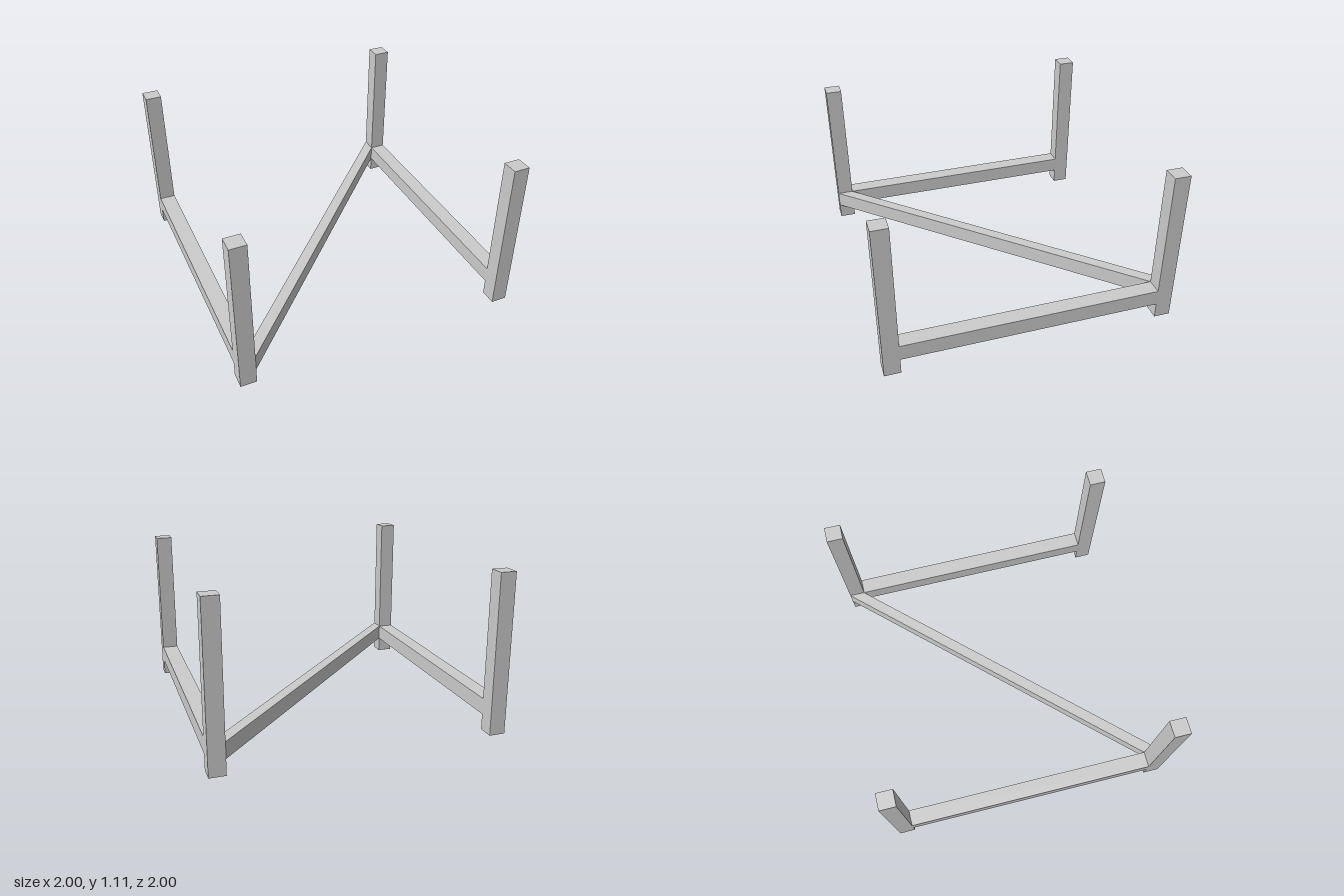
import * as THREE from 'three';

export function createModel() {
  const group = new THREE.Group();
  const material = new THREE.MeshStandardMaterial({ color: 0xcccccc, flatShading: true });
  const t = 1 / 9;          // beam thickness
  const height = 10 * t;    // leg height
  const inner = 1 - t;      // inner face of the legs
  const mid = 1 - t / 2;    // centre line of the legs

  const add = (name, geometry, x, y, z) => {
    const mesh = new THREE.Mesh(geometry, material);
    mesh.name = name;
    mesh.position.set(x, y, z);
    group.add(mesh);
  };

  for (const [side, sx] of [['left', 1], ['right', -1]]) {
    // Corner legs
    for (const [end, sz] of [['Front', 1], ['Back', -1]]) {
      add(`${side}${end}Leg`, new THREE.BoxGeometry(t, height, t), sx * mid, height / 2, sz * mid);
    }
    // Side rail between the front and back legs
    add(`${side}Rail`, new THREE.BoxGeometry(t, t, 2 * inner), sx * mid, 1.5 * t, 0);
  }

  // Diagonal brace, its ends cut flush with the inner leg faces
  const outline = new THREE.Shape([
    new THREE.Vector2(-inner, -1),
    new THREE.Vector2(inner, inner),
    new THREE.Vector2(inner, 1),
    new THREE.Vector2(-inner, -inner),
  ]);
  const brace = new THREE.ExtrudeGeometry(outline, { depth: t, bevelEnabled: false });
  brace.rotateX(-Math.PI / 2);
  add('diagonalBrace', brace, 0, t, 0);

  return group;
}
